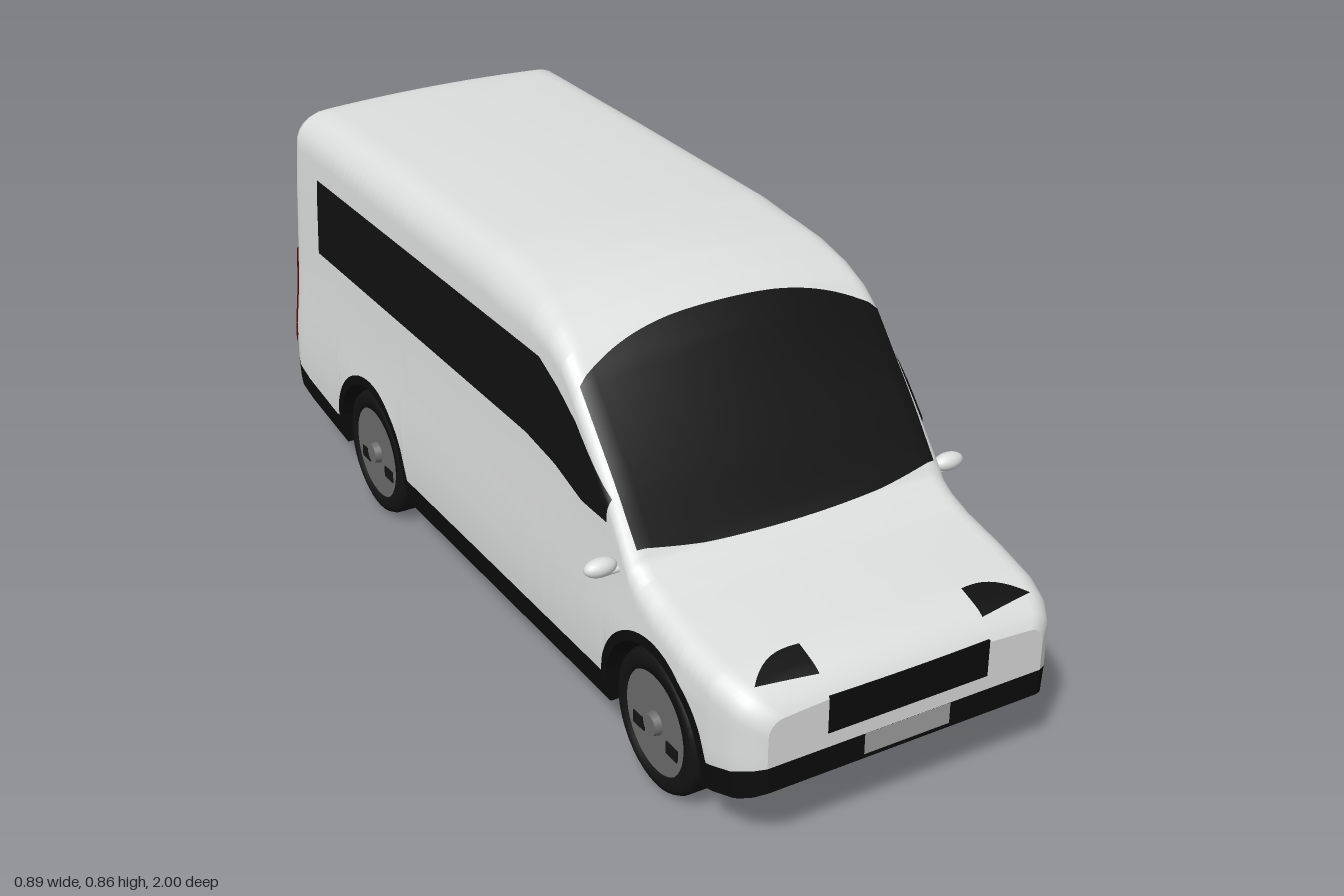
import * as THREE from 'three';

const mat = (name, color, side = THREE.FrontSide) => {
  const m = new THREE.MeshStandardMaterial({ color, side });
  m.name = name;
  return m;
};

// Linear lookup in a table of [key, value] pairs
function look(table, k) {
  if (k <= table[0][0]) return table[0][1];
  for (let i = 1; i < table.length; i++) {
    const [k0, v0] = table[i - 1], [k1, v1] = table[i];
    if (k <= k1) return v0 + (v1 - v0) * (k - k0) / (k1 - k0);
  }
  return table[table.length - 1][1];
}

// Body shape rules: roof line, widths, corner radius, crown, sill lines
const ROOF = [[-.985, .825], [-.975, .845], [-.95, .857], [-.9, .861], [-.5, .863], [0, .862], [.12, .857],
  [.2, .847], [.28, .825], [.335, .797], [.38, .757], [.45, .665], [.53, .56], [.58, .49], [.61, .45],
  [.64, .432], [.7, .415], [.8, .398], [.9, .38], [.95, .364], [.985, .342], [1, .32]];
const WIDTH = [[.1, .368], [.14, .376], [.2, .381], [.3, .381], [.4, .371], [.5, .366], [.7, .359], [.86, .348]];
const TAPER = [[-.985, .95], [-.975, .98], [-.95, 1], [.8, 1], [.9, .975], [.95, .94], [.985, .88], [1, .82]];
const CORNER = [[-.985, .06], [-.93, .085], [.1, .085], [.35, .042], [.58, .04], [.7, .05], [.95, .05], [1, .035]];
const CROWN = [[-.9, .008], [0, .01], [.2, .02], [.38, .03], [.5, .012], [.6, .004], [.8, .012], [1, .01]];
const FLOOR = [[-.985, .165], [-.9, .135], [-.72, .1], [.6, .1], [.88, .11], [.97, .135], [1, .155]];
const SILL = [[-.985, .22], [-.9, .19], [-.75, .165], [.85, .165], [.95, .19], [1, .21]];
const AXLES = [.7, -.55], HUB_Y = .148, ARCH = .165, LIP = .186;

const top = z => look(ROOF, z);
const halfWidth = (y, z) => look(WIDTH, y) * look(TAPER, z);
const cornerBase = z => top(z) - look(CROWN, z) - look(CORNER, z);
const archLine = (table, r, z) => AXLES.reduce((y, a) => {
  const d = r * r - (z - a) ** 2;
  return d >= -1e-9 ? Math.max(y, HUB_Y + Math.sqrt(Math.max(0, d))) : y;
}, look(table, z));
const leanZ = (y, z) => z + THREE.MathUtils.clamp((-z - .9) / .085, 0, 1) * (.022 * (y - .2) / .65 - .005);

function sideX(y, z) {
  const yc = cornerBase(z), r = look(CORNER, z);
  if (y <= yc) return halfWidth(y, z);
  return halfWidth(yc, z) - r + Math.sqrt(Math.max(0, r * r - (y - yc) ** 2));
}
function topY(x, z) {
  const r = look(CORNER, z), yc = cornerBase(z), flat = halfWidth(yc, z) - r, ax = Math.abs(x);
  if (ax <= flat) return top(z) - look(CROWN, z) * (ax / flat) ** 2;
  return yc + Math.sqrt(Math.max(0, r * r - (ax - flat) ** 2));
}

// Half cross-section from the sill up to the centre of the roof
function section(z) {
  const pts = [], r = look(CORNER, z), yc = cornerBase(z), wc = halfWidth(yc, z);
  const b = archLine(FLOOR, ARCH, z), t = Math.max(b, archLine(SILL, LIP, z));
  pts.push([halfWidth(b, z), b]);
  for (let i = 0; i <= 6; i++) {
    const y = t + (Math.max(yc, t) - t) * i / 6;
    pts.push([halfWidth(y, z), y]);
  }
  for (let i = 1; i <= 6; i++) {
    const a = i / 6 * Math.PI / 2;
    pts.push([wc - r + r * Math.cos(a), yc + r * Math.sin(a)]);
  }
  for (let i = 5; i >= 0; i--) pts.push([(wc - r) * i / 6, topY((wc - r) * i / 6, z)]);
  return pts;
}

function indexed(pos, index) {
  const g = new THREE.BufferGeometry();
  g.setAttribute('position', new THREE.Float32BufferAttribute(pos, 3));
  g.setIndex(index);
  return g;
}

// Curved sheet from a rule giving a point for u, v in 0..1
function sheet(nu, nv, rule) {
  const pos = [], idx = [];
  for (let j = 0; j <= nv; j++) for (let i = 0; i <= nu; i++) pos.push(...rule(i / nu, j / nv));
  for (let j = 0; j < nv; j++) for (let i = 0; i < nu; i++) {
    const a = j * (nu + 1) + i, c = a + nu + 1;
    idx.push(a, a + 1, c, a + 1, c + 1, c);
  }
  const g = indexed(pos, idx);
  g.computeVertexNormals();
  return g;
}

export function createModel() {
  const van = new THREE.Group();
  van.name = 'van';
  const paint = mat('body paint', 0xdcdddd);
  const trim = mat('black trim', 0x0c0c0c);
  const glass = mat('dark glass', 0x101010, THREE.DoubleSide);
  const rubber = mat('tyre rubber', 0x131313);
  const steel = mat('wheel grey', 0x6c6c6c);
  const red = mat('tail light red', 0x640c0c, THREE.DoubleSide);
  const pale = mat('plate grey', 0xa0a0a0);
  const add = (name, geo, m, parent = van) => {
    const mesh = new THREE.Mesh(geo, m);
    mesh.name = name;
    parent.add(mesh);
    return mesh;
  };

  // Stations along the body, denser round the wheel arches
  const stations = ROOF.map(p => p[0]);
  for (let z = -.96; z < .99; z += .03) stations.push(z);
  for (const a of AXLES) {
    for (const r of [ARCH, LIP]) for (let k = 0; k <= 20; k++) stations.push(a + r * Math.cos(k * Math.PI / 20));
    stations.push(a + ARCH + .0006, a - ARCH - .0006);
  }
  stations.sort((a, b) => a - b);
  const zs = stations.filter((z, i) => i === 0 || z - stations[i - 1] > 1e-5);

  // Body skin, underside and end faces
  const pos = [], painted = [], black = [], under = [];
  let n = 0;
  for (const z of zs) {
    const half = section(z);
    const loop = [...half, ...half.slice(0, -1).reverse().map(([x, y]) => [-x, y])];
    n = loop.length;
    for (const [x, y] of loop) pos.push(x, y, leanZ(y, z));
  }
  for (let i = 0; i < zs.length - 1; i++) {
    const o = i * n, p = o + n;
    for (let j = 0; j < n - 1; j++) {
      (j === 0 || j === n - 2 ? black : painted).push(o + j, o + j + 1, p + j, o + j + 1, p + j + 1, p + j);
    }
    under.push(o, p, p + n - 1, o, p + n - 1, o + n - 1);
  }
  const skin = indexed(pos, [...painted, ...black]);
  skin.addGroup(0, painted.length, 0);
  skin.addGroup(painted.length, black.length, 1);
  skin.computeVertexNormals();
  add('bodyShell', skin, [paint, trim]);

  const flat = idx => {
    const g = indexed(pos, idx).toNonIndexed();
    g.computeVertexNormals();
    return g;
  };
  add('underside', flat(under), trim);
  for (const [name, o, front] of [['front', (zs.length - 1) * n, true], ['rear', 0, false]]) {
    const face = [], bumper = [];
    for (let j = 0; j < (n - 1) / 2; j++) {
      const a = o + j, b = a + 1, c = o + n - 2 - j, d = c + 1;
      (j === 0 ? bumper : face).push(...(front ? [a, b, c, a, c, d] : [a, c, b, a, d, c]));
    }
    add(name + 'Face', flat(face), paint);
    add(name + 'Bumper', flat(bumper), trim);
  }

  // Windscreen and rear window
  add('windscreen', sheet(40, 24, (u, v) => {
    const s = 2 * u - 1, x = .346 * s;
    const z = (.619 - .026 * s * s) * (1 - v) + (.333 + .048 * Math.abs(s) ** 3) * v;
    return [x, topY(x, z) + .004, z + .004];
  }), glass);
  add('rearWindow', sheet(1, 4, (u, v) => {
    const y = .545 + .215 * v;
    return [.32 * (1 - 2 * u), y, leanZ(y, -.985) - .004];
  }), glass);

  const WIN_TOP = [[-.82, .73], [.25, .73], [.33, .697], [.4, .655], [.525, .545]];
  const WIN_LOW = [[-.82, .55], [.2, .545], [.32, .53], [.43, .5], [.525, .5]];
  for (const s of [1, -1]) {
    const side = s > 0 ? 'left' : 'right';
    // Side window band
    add(side + 'SideWindow', sheet(54, 8, (u, v) => {
      const z = -.82 + 1.345 * u, y = look(WIN_LOW, z) * (1 - v) + look(WIN_TOP, z) * v;
      return [s * (sideX(y, z) + .004), y, z];
    }), glass);
    // Headlight, tapering to its outer end
    add(side + 'Headlight', sheet(10, 5, (u, v) => {
      const x = .185 + .128 * u, z = .967 - .018 * u - v * .067 * (1 - u ** 2.5);
      return [s * x, topY(x, z) + .005, z + .003];
    }), glass);
    // Tail light wrapped round the rear corner
    add(side + 'TailLight', sheet(3, 4, (u, v) => {
      const k = Math.round(u * 3), y = .27 + .235 * v, z = [-.95, -.975, -.985, -.985][k];
      const x = k === 3 ? .318 : sideX(y, z) + .004;
      return [s * x, y, leanZ(y, z) - (k > 1 ? .004 : 0)];
    }), red);
    // Door mirror
    const mirror = add(side + 'Mirror', new THREE.SphereGeometry(1, 20, 14), paint);
    mirror.scale.set(.035, .019, .02);
    mirror.position.set(s * .408, .435, .567);
    const stalk = add(side + 'MirrorStalk', new THREE.CylinderGeometry(.007, .007, .05, 10), paint);
    stalk.rotation.z = Math.PI / 2;
    stalk.position.set(s * .375, .42, .567);
    // Exhaust pipe
    const pipe = add(side + 'Exhaust', new THREE.CylinderGeometry(.015, .015, .09, 16), paint);
    pipe.rotation.x = Math.PI / 2;
    pipe.position.set(s * .22, .13, -.955);

    // Wheels
    for (const z of AXLES) {
      const wheel = new THREE.Group();
      wheel.name = side + (z > 0 ? 'FrontWheel' : 'RearWheel');
      wheel.position.set(s * .325, HUB_Y, z);
      wheel.rotation.z = -s * Math.PI / 2;
      const tyre = [[.1, -.045], [.13, -.045], [.142, -.04], [.148, -.028], [.148, .028], [.142, .04], [.13, .045], [.108, .045], [.108, .03]];
      add('tyre', new THREE.LatheGeometry(tyre.map(p => new THREE.Vector2(...p)), 40), rubber, wheel);
      add('wheelDisc', new THREE.CylinderGeometry(.112, .112, .08, 32), steel, wheel);
      add('hubCap', new THREE.CylinderGeometry(.022, .026, .02, 20), steel, wheel).position.y = .045;
      for (const k of [1, -1]) {
        const slot = add('wheelSlot', new THREE.BoxGeometry(.026, .004, .04), rubber, wheel);
        slot.position.set(s * .03, .041, k * .06);
      }
      van.add(wheel);
    }
  }

  // Grille and number plates
  add('grille', new THREE.BoxGeometry(.364, .08, .009), trim).position.set(0, .281, .9965);
  add('frontPlate', new THREE.BoxGeometry(.195, .045, .006), pale).position.set(0, .187, .998);
  add('rearPlate', new THREE.BoxGeometry(.195, .04, .006), pale).position.set(0, .215, leanZ(.215, -.985) - .001);
  return van;
}
